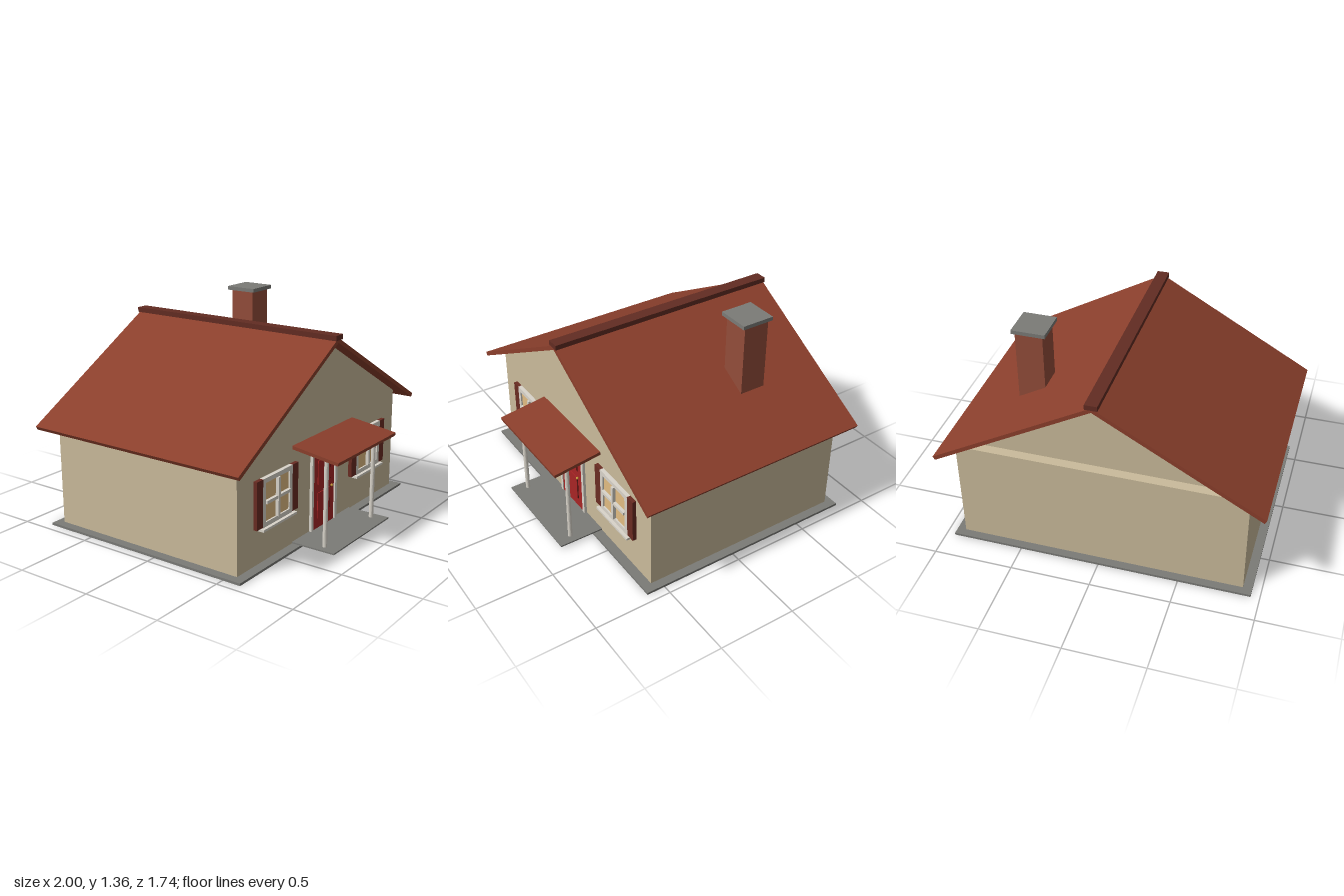
import * as THREE from 'three';

const mat = (color) => new THREE.MeshStandardMaterial({ color, flatShading: true });
const M = {
  wall: mat(0xcabb9b), roof: mat(0x8b3f2c), ridge: mat(0x622c22), shutter: mat(0x6a2c22),
  brick: mat(0x934d3a), stone: mat(0x7b7b77), trim: mat(0xd9d4ca), glass: mat(0xe2bc82),
  door: mat(0xa82525), dark: mat(0x4a1512), brass: mat(0xc79a3c), mat: mat(0x4a3020),
};
M.lamp = new THREE.MeshStandardMaterial({ color: 0xd8b880 });

function mesh(parent, name, geometry, material) {
  const m = new THREE.Mesh(geometry, material);
  m.name = name;
  parent.add(m);
  return m;
}

// Box given by its limits on each axis
function box(parent, name, material, x0, x1, y0, y1, z0, z1) {
  const m = mesh(parent, name, new THREE.BoxGeometry(x1 - x0, y1 - y0, z1 - z0), material);
  m.position.set((x0 + x1) / 2, (y0 + y1) / 2, (z0 + z1) / 2);
  return m;
}

// Outline in x, y pushed along z
function prism(parent, name, material, points, z0, z1) {
  const shape = new THREE.Shape(points.map(([x, y]) => new THREE.Vector2(x, y)));
  const geometry = new THREE.ExtrudeGeometry(shape, { depth: z1 - z0, bevelEnabled: false });
  geometry.translate(0, 0, z0);
  return mesh(parent, name, geometry, material);
}

// Window with frame, glazing bars, sill and a pair of shutters
function makeWindow(x) {
  const g = new THREE.Group();
  g.name = 'window';
  const y0 = 0.237, y1 = 0.53, w = 0.15, t = 0.028;
  box(g, 'windowPane', M.glass, -w + 0.01, w - 0.01, y0 + 0.01, y1 - 0.01, 0.555, 0.575);
  for (const s of [-1, 1]) {
    const a = s * w, b = s * (w - t), c = s * (w + 0.06);
    box(g, 'frameSide', M.trim, Math.min(a, b), Math.max(a, b), y0, y1, 0.555, 0.585);
    box(g, 'shutter', M.shutter, Math.min(a, c), Math.max(a, c), y0 + 0.004, y1, 0.56, 0.585);
  }
  box(g, 'frameTop', M.trim, -w + t, w - t, y1 - t, y1, 0.555, 0.585);
  box(g, 'frameBottom', M.trim, -w + t, w - t, y0, y0 + t, 0.555, 0.585);
  box(g, 'verticalBar', M.trim, -0.01, 0.01, y0 + t, y1 - t, 0.57, 0.596);
  box(g, 'horizontalBar', M.trim, -w + t, w - t, 0.375, 0.394, 0.57, 0.594);
  box(g, 'sill', M.trim, -0.172, 0.172, 0.223, y0, 0.555, 0.605);
  g.position.x = x;
  return g;
}

function makeDoor() {
  const g = new THREE.Group();
  g.name = 'door';
  box(g, 'doorLeaf', M.door, -0.124, 0.118, 0.022, 0.5, 0.555, 0.572);
  box(g, 'doorGap', M.dark, 0.118, 0.126, 0.022, 0.5, 0.555, 0.565);
  for (const [y0, y1] of [[0.088, 0.255], [0.31, 0.463]]) {
    box(g, 'doorPanel', M.door, -0.075, 0.065, y0, y1, 0.57, 0.577);
    box(g, 'panelGroove', M.dark, 0.065, 0.073, y0, y1, 0.57, 0.574);
  }
  const knob = mesh(g, 'doorKnob', new THREE.SphereGeometry(0.009, 12, 8), M.brass);
  knob.position.set(0.08, 0.262, 0.58);
  // Frame and stepped head
  box(g, 'doorJamb', M.trim, -0.145, -0.124, 0.022, 0.52, 0.555, 0.578);
  box(g, 'doorJamb', M.trim, 0.126, 0.15, 0.022, 0.52, 0.555, 0.578);
  box(g, 'doorLintel', M.trim, -0.124, 0.126, 0.5, 0.52, 0.555, 0.575);
  box(g, 'doorHead', M.trim, -0.155, 0.155, 0.515, 0.545, 0.555, 0.58);
  return g;
}

function makePorch() {
  const g = new THREE.Group();
  g.name = 'porch';
  box(g, 'porchFloor', M.stone, -0.335, 0.335, 0.015, 0.024, 0.56, 0.85);
  box(g, 'doorMat', M.mat, -0.1, 0.1, 0.013, 0.02, 0.6, 0.69);
  for (const x of [-0.28, 0.28]) {
    const post = mesh(g, 'porchPost', new THREE.CylinderGeometry(0.014, 0.014, 0.56, 16), M.trim);
    post.position.set(x, 0.295, 0.755);
  }
  box(g, 'porchBeam', M.trim, -0.295, 0.295, 0.563, 0.584, 0.741, 0.769);

  // Sloping canopy: side profile turned so that its length runs along x
  const profile = new THREE.Shape([[0.555, 0.611], [0.867, 0.568], [0.87, 0.588], [0.555, 0.632]]
    .map(([z, y]) => new THREE.Vector2(-z, y)));
  const canopy = new THREE.ExtrudeGeometry(profile, { depth: 0.69, bevelEnabled: false });
  canopy.rotateY(Math.PI / 2).translate(-0.345, 0, 0);
  mesh(g, 'porchRoof', canopy, M.roof);

  const lamp = mesh(g, 'porchLamp', new THREE.SphereGeometry(0.022, 20, 14), M.lamp);
  lamp.position.set(0, 0.55, 0.645);
  return g;
}

export function createModel() {
  const house = new THREE.Group();
  house.name = 'house';

  // Base, walls and gable
  box(house, 'foundation', M.stone, -0.945, 0.945, 0, 0.015, -0.83, 0.62);
  box(house, 'walls', M.wall, -0.89, 0.89, 0.015, 0.69, -0.78, 0.56);
  prism(house, 'gable', M.wall, [[-0.89, 0.69], [0.89, 0.69], [0, 1.198]], -0.72, 0.56);

  // Two roof slopes and the ridge cap
  for (const s of [-1, 1]) {
    prism(house, 'roofSlope', M.roof,
      [[0, 1.217], [s, 0.654], [s * 0.987, 0.632], [0, 1.188]], -0.866, 0.65);
  }
  box(house, 'ridgeCap', M.ridge, -0.038, 0.038, 1.205, 1.236, -0.87, 0.656);

  // Chimney
  box(house, 'chimney', M.brick, 0.43, 0.6, 0.83, 1.332, -0.438, -0.27);
  box(house, 'chimneyCap', M.stone, 0.407, 0.615, 1.332, 1.356, -0.458, -0.248);

  // Front details
  house.add(makeWindow(-0.525), makeWindow(0.525), makeDoor(), makePorch());
  return house;
}
